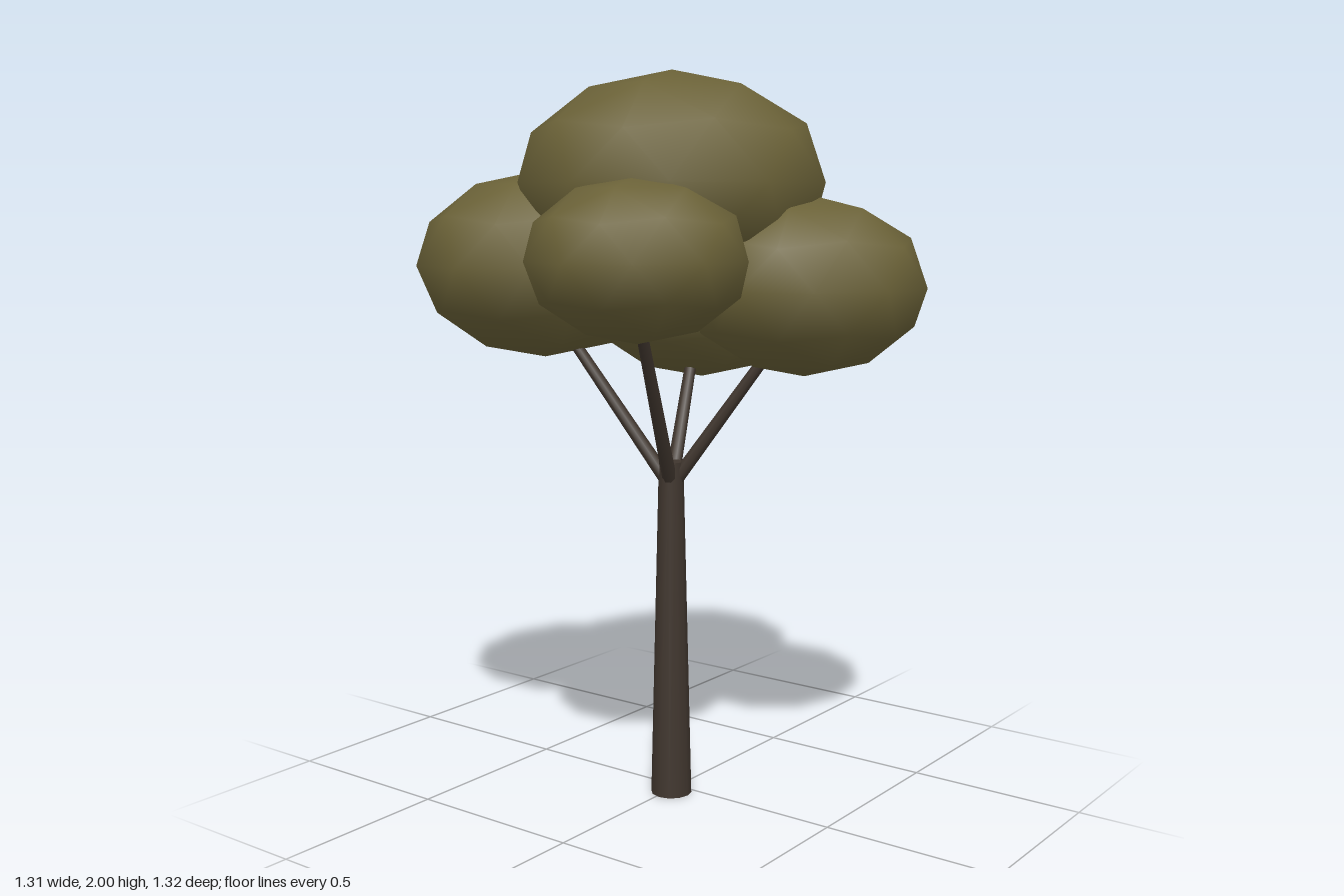
import * as THREE from 'three';

const foliage = new THREE.MeshStandardMaterial({ name: 'olive foliage', color: 0x6b6238 });
const bark = new THREE.MeshStandardMaterial({ name: 'dark bark', color: 0x40362e });

// Tapered limb between two points
function limb(name, from, to, rFrom, rTo, sides) {
  const dir = to.clone().sub(from);
  const mesh = new THREE.Mesh(new THREE.CylinderGeometry(rTo, rFrom, dir.length(), sides), bark);
  mesh.name = name;
  mesh.position.copy(from).addScaledVector(dir, 0.5);
  mesh.quaternion.setFromUnitVectors(new THREE.Vector3(0, 1, 0), dir.normalize());
  return mesh;
}

// Flattened smooth icosphere with a vertex at each pole
function leafClump(name, [x, y, z], radius, halfHeight) {
  const geo = new THREE.IcosahedronGeometry(1, 1);
  geo.rotateZ(-Math.atan(2 / (1 + Math.sqrt(5))));
  geo.scale(radius, halfHeight, radius);
  const mesh = new THREE.Mesh(geo, foliage);
  mesh.name = name;
  mesh.position.set(x, y, z);
  return mesh;
}

export function createModel() {
  const tree = new THREE.Group();
  tree.name = 'tree';
  const cx = 0.01, cz = 0.043;

  // Trunk
  tree.add(limb('trunk', new THREE.Vector3(cx, 0, cz), new THREE.Vector3(cx, 0.95, cz), 0.057, 0.034, 12));

  // Crown
  tree.add(leafClump('topClump', [0.012, 1.705, 0.04], 0.42, 0.295));

  // Side clumps, each carried by a branch
  const clumps = [
    ['right', [-0.322, 1.485, 0.18], 0.351, 0.255],
    ['left', [0.346, 1.435, -0.1], 0.325, 0.24],
    ['front', [0.153, 1.514, 0.372], 0.287, 0.208],
    ['back', [-0.13, 1.415, -0.295], 0.368, 0.27],
  ];
  for (const [side, centre, radius, halfHeight] of clumps) {
    tree.add(leafClump(side + 'Clump', centre, radius, halfHeight));
    tree.add(limb(side + 'Branch', new THREE.Vector3(cx, 0.88, cz),
      new THREE.Vector3(centre[0], 1.39, centre[2]), 0.02, 0.014, 8));
  }
  return tree;
}
